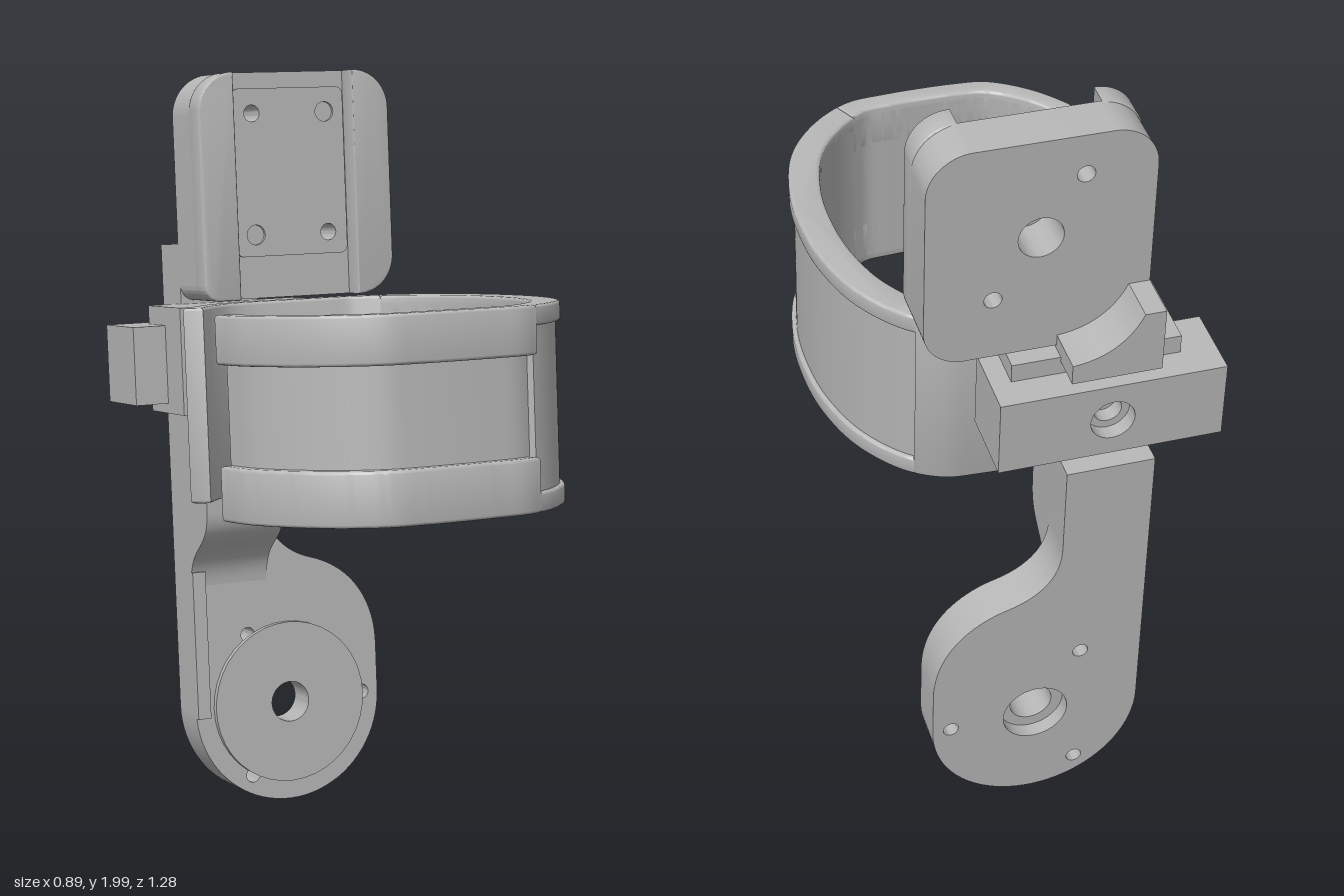
import * as THREE from 'three';
import { toCreasedNormals } from 'three/addons/utils/BufferGeometryUtils.js';

const grey = new THREE.MeshStandardMaterial({ color: 0xb6b6b6 });
grey.name = 'plain grey';

// Extrudes a shape to run from a to b along z, with optional softened edges
function slab(shape, a, b, bevel = 0) {
  const g = new THREE.ExtrudeGeometry(shape, {
    depth: b - a - 2 * bevel, curveSegments: 20, bevelEnabled: bevel > 0,
    bevelSize: bevel, bevelThickness: bevel, bevelOffset: -bevel, bevelSegments: 3,
  });
  g.translate(0, 0, a + bevel);
  return toCreasedNormals(g, 0.6);
}

// Rounded rectangle; radii in the order bottom left, bottom right, top right, top left
function roundRect(x0, y0, x1, y1, [bl, br, tr, tl]) {
  const s = new THREE.Shape();
  s.moveTo(x0 + bl, y0).lineTo(x1 - br, y0);
  if (br) s.absarc(x1 - br, y0 + br, br, -Math.PI / 2, 0);
  s.lineTo(x1, y1 - tr);
  if (tr) s.absarc(x1 - tr, y1 - tr, tr, 0, Math.PI / 2);
  s.lineTo(x0 + tl, y1);
  if (tl) s.absarc(x0 + tl, y1 - tl, tl, Math.PI / 2, Math.PI);
  s.lineTo(x0, y0 + bl);
  if (bl) s.absarc(x0 + bl, y0 + bl, bl, Math.PI, Math.PI * 1.5);
  return s;
}

function drill(shape, ...holes) {
  for (const [x, y, r] of holes) {
    shape.holes.push(new THREE.Path().absarc(x, y, r, 0, Math.PI * 2, true));
  }
  return shape;
}

export function createModel() {
  const model = new THREE.Group();
  model.name = 'cuffAssembly';
  model.rotation.x = -0.0838; // the whole assembly leans back
  const add = (name, geometry) => {
    const m = new THREE.Mesh(geometry, grey);
    m.name = name;
    model.add(m);
    return m;
  };

  // ---- Open cuff: outline seen from above, as x and z
  const outline = new THREE.CatmullRomCurve3([
    [-.445, .325], [-.425, .43], [-.37, .54], [-.28, .645], [-.18, .708], [-.1, .72], [.1, .72],
    [.2, .708], [.3, .645], [.39, .53], [.435, .38], [.445, .24], [.43, .09], [.38, -.06],
    [.29, -.18], [.2, -.232], [.12, -.242], [-.13, -.242], [-.22, -.215], [-.3, -.15], [-.36, -.08],
  ].map(([x, z]) => new THREE.Vector3(x, 0, z)));
  const N = 180;
  const samples = Array.from({ length: N + 1 }, (_, i) => {
    const p = outline.getPointAt(i / N), t = outline.getTangentAt(i / N);
    return { x: p.x, z: p.z, nx: -t.z, nz: t.x };
  });
  const strip = (name, i0, i1, inset, y0, y1, bevel) => {
    const run = samples.slice(i0, i1 + 1);
    const at = (s, d) => new THREE.Vector2(s.x - s.nx * d, -(s.z - s.nz * d));
    const outer = run.map(s => at(s, inset));
    const inner = run.map(s => at(s, 0.053 + 0.027 * Math.max(0, s.nx))).reverse();
    const g = slab(new THREE.Shape([...outer, ...inner]), y0, y1, bevel);
    g.rotateX(-Math.PI / 2);
    add(name, g);
  };
  const step = samples.findIndex(s => s.x > 0.22);
  const panelEnd = N - [...samples].reverse().findIndex(s => s.x > 0.26);
  const bottom = 0.925, top = 1.425;
  strip('frontStrap', 0, step, 0.03, bottom + 0.02, top - 0.02, 0);
  strip('sidePanel', step, panelEnd, 0.012, bottom + 0.02, top - 0.02, 0);
  strip('backWall', panelEnd, N, 0, bottom, top, 0.008);
  strip('frontTopRim', 0, step, 0, top - 0.12, top, 0.008);
  strip('frontBottomRim', 0, step, 0, bottom, bottom + 0.135, 0.008);
  strip('sideTopRim', step, panelEnd, 0, top - 0.05, top, 0.008);
  strip('sideBottomRim', step, panelEnd, 0, bottom, bottom + 0.05, 0.008);

  // ---- Bracket joining the cuff to the clamp
  add('cuffBracket', slab(roundRect(-.32, 1.14, .1, 1.42, [0, 0, 0, 0]), -.42, -.2));

  // ---- Clamp block with a counterbored hole
  const block = r => drill(roundRect(-.41, 1.166, .15, 1.371, [0, 0, 0, 0]), [-.13, 1.268, r]);
  add('clampBlockBack', slab(block(.055), -.5, -.46));
  add('clampBlockFront', slab(block(.035), -.46, -.306));

  // ---- Lower arm: rounded plate with a neck
  const cx = .03, cy = .32, R = .272;
  const smallHoles = [0, 1, 2].map(k => {
    const a = k * Math.PI * 2 / 3;
    return [cx + .224 * Math.cos(a), cy + .224 * Math.sin(a), .02];
  });
  const plate = r => {
    const s = new THREE.Shape();
    s.moveTo(-.242, 1.126).lineTo(-.242, cy);
    s.absarc(cx, cy, R, Math.PI, Math.PI * 2);
    s.lineTo(.302, .45);
    s.bezierCurveTo(.302, .59, .22, .68, .11, .71);
    s.bezierCurveTo(.03, .735, -.02, .79, -.02, .88);
    s.lineTo(-.02, 1.126);
    return drill(s, [cx, cy, r], ...smallHoles);
  };
  add('lowerPlateBack', slab(plate(.085), -.508, -.47));
  add('lowerPlateFront', slab(plate(.055), -.47, -.395));
  const disc = new THREE.Shape().absarc(cx, cy, .22, 0, Math.PI * 2);
  add('pivotDisc', slab(drill(disc, [cx, cy, .055]), -.395, -.379));

  // Thick neck, drawn from the side and sweeping down into the plate
  const neck = new THREE.Shape();
  neck.moveTo(.5, 1.126).lineTo(.255, 1.126).lineTo(.262, .875);
  neck.bezierCurveTo(.268, .76, .385, .79, .395, .66);
  neck.lineTo(.5, .66);
  const neckGeometry = slab(neck, -.242, -.02);
  neckGeometry.rotateY(Math.PI / 2);
  add('lowerNeck', neckGeometry);
  add('lowerEdgeRail', slab(roundRect(-.242, .3, -.205, .7, [0, 0, 0, 0]), -.4, -.38));

  // ---- Upper housing: back plate, two raised cheeks and an inset cover
  const hx = .03, hy = 1.756;
  const through = [[-.07, 1.915, .022], [.14, 1.597, .022]];
  const blind = [[-.07, 1.597, .026], [.14, 1.915, .026]];
  add('housingBack', slab(
    drill(roundRect(-.242, 1.43, .305, 2.022, [.04, .1, .11, .11]), [hx, hy, .055], ...through),
    -.386, -.268));
  add('housingRightCheek', slab(roundRect(-.242, 1.43, -.14, 2.022, [.04, 0, 0, .1]), -.275, -.208, .006));
  add('housingLeftCheek', slab(roundRect(.2, 1.43, .305, 2.022, [0, .1, .1, 0]), -.275, -.208, .006));
  add('housingCover', slab(
    drill(roundRect(-.125, 1.54, .195, 1.98, [.02, .02, .02, .02]), ...through, ...blind),
    -.268, -.259));

  // Stub behind the housing with a hollow sloping edge
  const stub = new THREE.Shape();
  stub.moveTo(-.242, 1.407).lineTo(-.02, 1.407).lineTo(-.02, 1.46);
  stub.quadraticCurveTo(-.14, 1.47, -.19, 1.578);
  stub.lineTo(-.242, 1.578);
  add('upperStub', slab(stub, -.505, -.38));

  const group = new THREE.Group();
  group.name = 'armCuff';
  group.add(model);
  return group;
}
